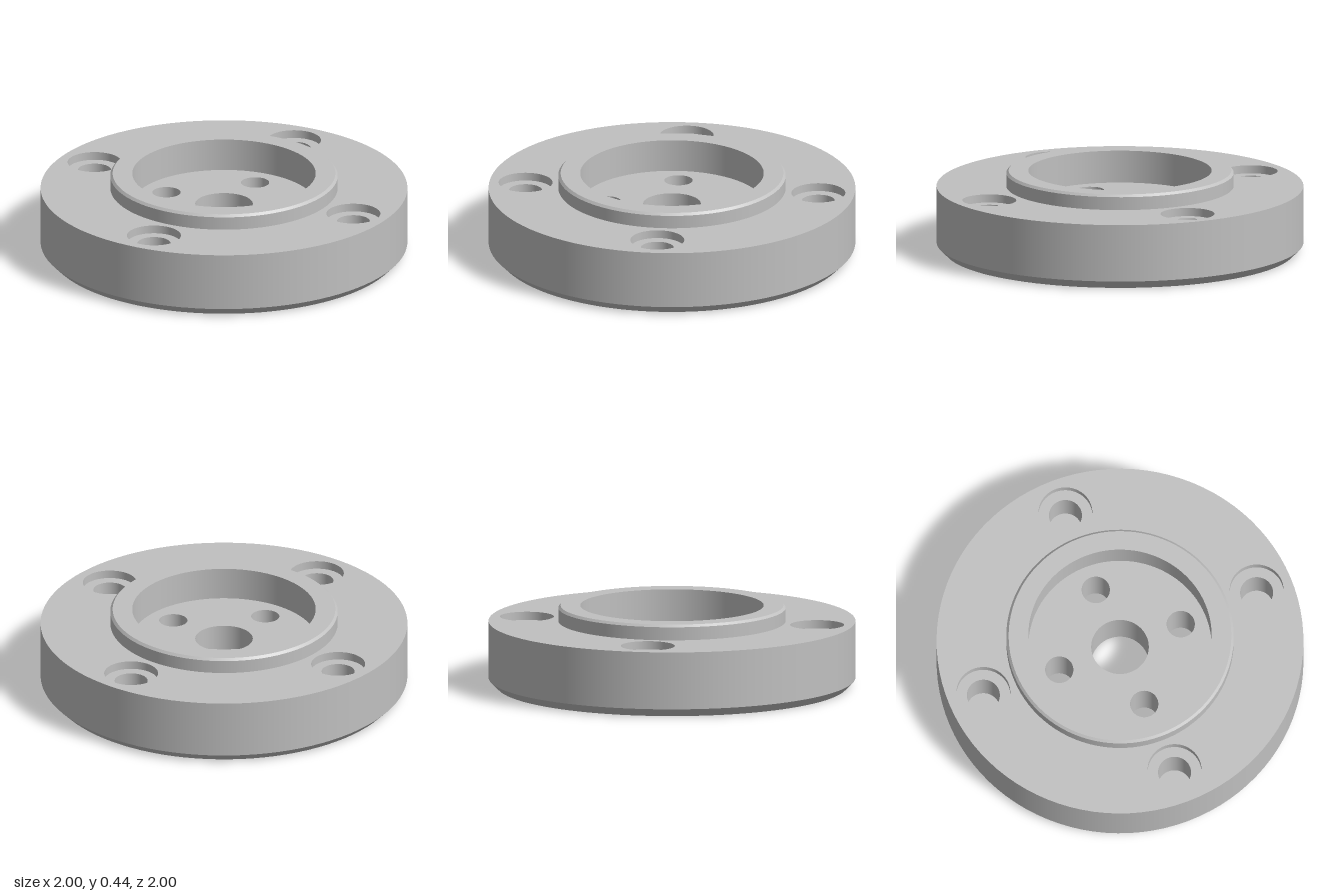
import * as THREE from 'three';

const SEGMENTS = 96;

export function createModel() {
  const group = new THREE.Group();
  const metal = new THREE.MeshStandardMaterial({ color: 0xc0c0c0 });
  metal.name = 'machined grey';

  const add = (name, geometry, x = 0, y = 0, z = 0) => {
    const mesh = new THREE.Mesh(geometry, metal);
    mesh.name = name;
    mesh.position.set(x, y, z);
    group.add(mesh);
  };

  // Band of revolution from (r0, y0) to (r1, y1): rising faces outward, falling faces inward
  const wall = (name, r0, y0, r1, y1, x = 0, z = 0) =>
    add(name, new THREE.LatheGeometry(
      [new THREE.Vector2(r0, y0), new THREE.Vector2(r1, y1)], SEGMENTS), x, 0, z);

  // Flat disc with round holes, each given as [x, z, radius]
  const face = (name, radius, y, holes = [], x = 0, z = 0, down = false) => {
    const shape = new THREE.Shape().absarc(0, 0, radius, 0, Math.PI * 2, false);
    for (const [hx, hz, r] of holes) {
      shape.holes.push(new THREE.Path().absarc(hx, down ? hz : -hz, r, 0, Math.PI * 2, true));
    }
    const geometry = new THREE.ShapeGeometry(shape, SEGMENTS / 2);
    geometry.rotateX(down ? Math.PI / 2 : -Math.PI / 2);
    add(name, geometry, x, y, z);
  };

  const corners = [[1, 1], [-1, 1], [-1, -1], [1, -1]];
  const at = (d, r) => corners.map(([sx, sz]) => [sx * d, sz * d, r]);

  const topY = 0.36, bossY = 0.445, floorY = 0.267, boreY = 0.315, blindY = 0.1;
  const bossR = 0.62, recessR = 0.5;
  const screwHoles = at(0.567, 0.147);
  const throughHoles = [[0, 0, 0.157], ...at(0.252, 0.077)];

  // Flange disc with chamfered lower edge
  face('flangeBottom', 0.955, 0, throughHoles, 0, 0, true);
  wall('flangeChamfer', 0.955, 0, 1, 0.045);
  wall('flangeRim', 1, 0.045, 1, topY);
  face('flangeTop', 1, topY, [[0, 0, bossR], ...screwHoles]);

  // Raised boss ring around a round recess
  wall('bossSide', bossR, topY, bossR, 0.432);
  wall('bossChamfer', bossR, 0.432, 0.607, bossY);
  face('bossTop', 0.607, bossY, [[0, 0, recessR]]);
  wall('recessWall', recessR, bossY, recessR, floorY);
  face('recessFloor', recessR, floorY, throughHoles);

  // Centre bore and four small through holes
  throughHoles.forEach(([x, z, r], i) =>
    wall(i ? 'throughHole' : 'centreBore', r, floorY, r, 0, x, z));

  // Counterbored blind screw holes
  for (const [x, z, r] of screwHoles) {
    wall('counterboreWall', r, topY, r, boreY, x, z);
    face('counterboreLedge', r, boreY, [[0, 0, 0.09]], x, z);
    wall('screwHoleWall', 0.09, boreY, 0.09, blindY, x, z);
    face('screwHoleFloor', 0.09, blindY, [], x, z);
  }
  return group;
}
